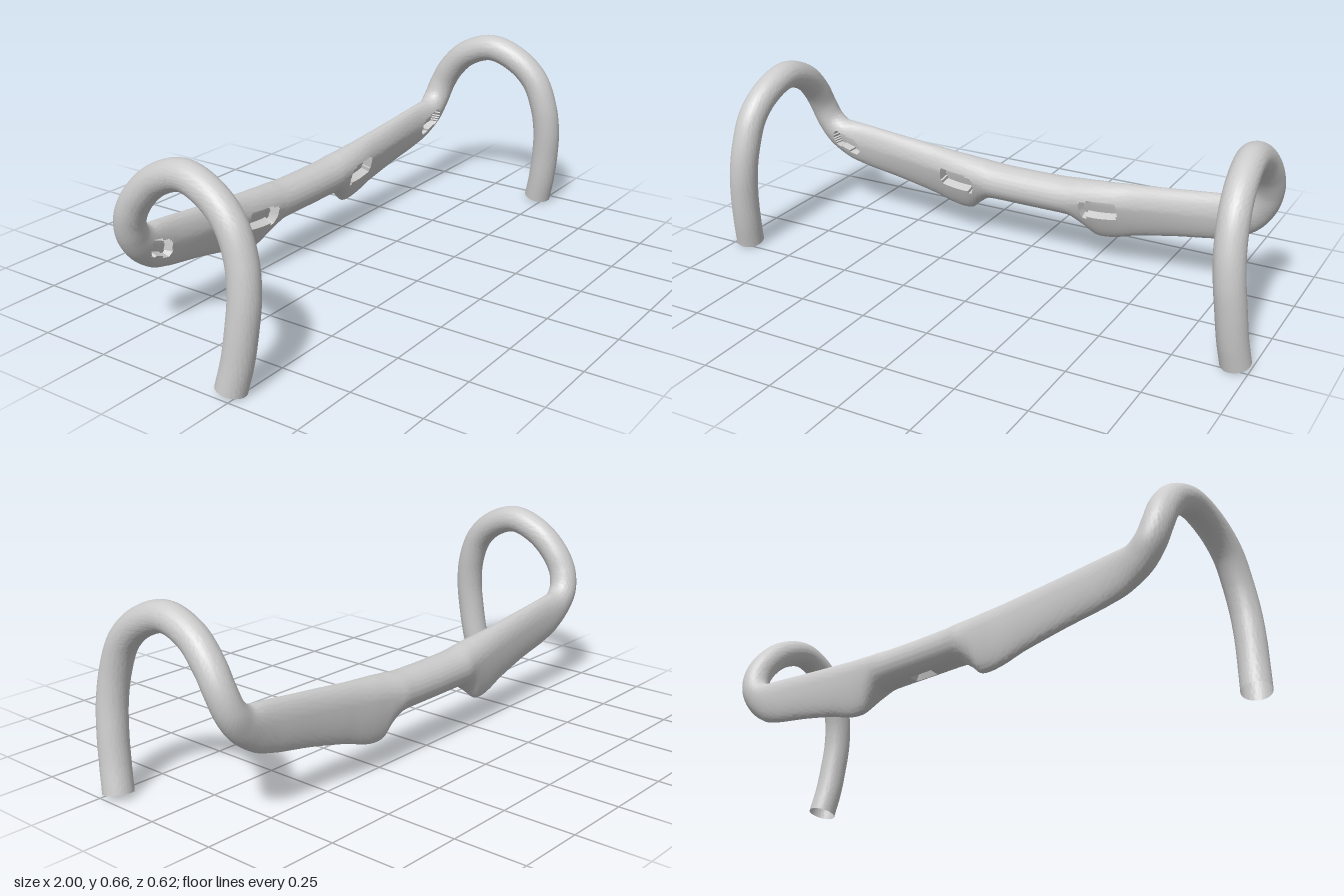
import * as THREE from 'three';
import { toCreasedNormals } from 'three/addons/utils/BufferGeometryUtils.js';

// Half of the bar, centre to grip end:
// centre x, y, z, then section size: up, down, half depth
const SECTIONS = [
  [0, .237, -.242, .066, .066, .067],
  [.13, .238, -.242, .067, .067, .067],
  [.17, .24, -.242, .068, .075, .067],
  [.2, .242, -.24, .07, .1, .064],
  [.235, .245, -.238, .07, .136, .061],
  [.27, .247, -.237, .072, .147, .058],
  [.32, .25, -.236, .073, .143, .054],
  [.4, .258, -.236, .073, .125, .046],
  [.55, .275, -.232, .072, .108, .04],
  [.7, .29, -.23, .073, .096, .037],
  [.77, .3, -.228, .07, .085, .04],
  [.83, .322, -.225, .058, .065, .046],
  [.872, .365, -.222, .05, .052, .05],
  [.893, .43, -.205, .049, .049, .05],
];
// Round drop: centre line only
const DROP = [
  [.895, .5, -.165], [.89, .57, -.09], [.89, .607, .02], [.897, .57, .13],
  [.905, .5, .205], [.912, .4, .245], [.922, .3, .258], [.932, .2, .253],
  [.94, .1, .24], [.95, .01, .221],
];
for (const p of DROP) SECTIONS.push([...p, .05, .05, .05]);

// Cable pockets on the front face: centre, half size, slope, depth
const POCKETS = [
  { x: .288, y: .228, w: .068, h: .03, slope: .13, depth: .035 },
  { x: .782, y: .29, w: .048, h: .027, slope: .4, depth: .03 },
];
const STEPS = 12, SIDES = 64;

function carve(p, facing) {
  for (const k of POCKETS) {
    const dx = (p.x - k.x) / k.w;
    const dy = (p.y - k.y - k.slope * (p.x - k.x)) / k.h;
    // rounded rectangle outline
    if (facing > .2 && dx ** 6 + dy ** 6 < 1) p.z -= k.depth;
  }
  // small slot under the clamp area
  if (p.x < .04 && p.y < .2 && Math.abs(p.z + .242) < .014) p.y += .025;
}

// Lofts one half of the bar; side is +1 (left) or -1 (right)
function halfBar(side) {
  const path = new THREE.CatmullRomCurve3(SECTIONS.map(s => new THREE.Vector3(s[0], s[1], s[2])));
  const sizes = new THREE.CatmullRomCurve3(
    SECTIONS.map(s => new THREE.Vector3(s[3], s[4], s[5])), false, 'catmullrom', .5);
  const rings = (SECTIONS.length - 1) * STEPS;
  const up = new THREE.Vector3(0, 1, 0), positions = [], index = [];

  for (let i = 0; i <= rings; i++) {
    const t = i / rings;
    const centre = path.getPoint(t), size = sizes.getPoint(t);
    const along = i === 0 ? new THREE.Vector3(1, 0, 0) : path.getTangent(t);
    up.addScaledVector(along, -up.dot(along)).normalize();
    const out = new THREE.Vector3().crossVectors(along, up);
    // deep sections narrow to an edge below that leans back
    const stretch = Math.max(0, Math.min(1, size.y / size.x - 1));

    for (let j = 0; j < SIDES; j++) {
      const a = j / SIDES * Math.PI * 2, s = Math.sin(a), c = Math.cos(a);
      let depth = size.z * c;
      if (s < 0) depth = depth * (1 + .3 * stretch * s) + .022 * stretch * s;
      const p = centre.clone()
        .addScaledVector(up, s * (s > 0 ? size.x : size.y))
        .addScaledVector(out, depth);
      carve(p, c);
      positions.push(p.x * side, p.y, p.z);

      if (i === rings) continue;
      const k = (j + 1) % SIDES;
      const v = i * SIDES + j, w = i * SIDES + k, v2 = v + SIDES, w2 = w + SIDES;
      if (side > 0) index.push(v, v2, w, w, v2, w2);
      else index.push(v, w, v2, w, w2, v2);
    }
  }
  const geometry = new THREE.BufferGeometry();
  geometry.setAttribute('position', new THREE.Float32BufferAttribute(positions, 3));
  geometry.setIndex(index);
  return toCreasedNormals(geometry, .6);
}

export function createModel() {
  const group = new THREE.Group();
  group.name = 'handlebar';
  // open grip ends show the inside of the tube
  const material = new THREE.MeshStandardMaterial({ color: 0xcccccc, side: THREE.DoubleSide });
  for (const side of [1, -1]) {
    const mesh = new THREE.Mesh(halfBar(side), material);
    mesh.name = side > 0 ? 'leftHalfBar' : 'rightHalfBar';
    group.add(mesh);
  }
  return group;
}
